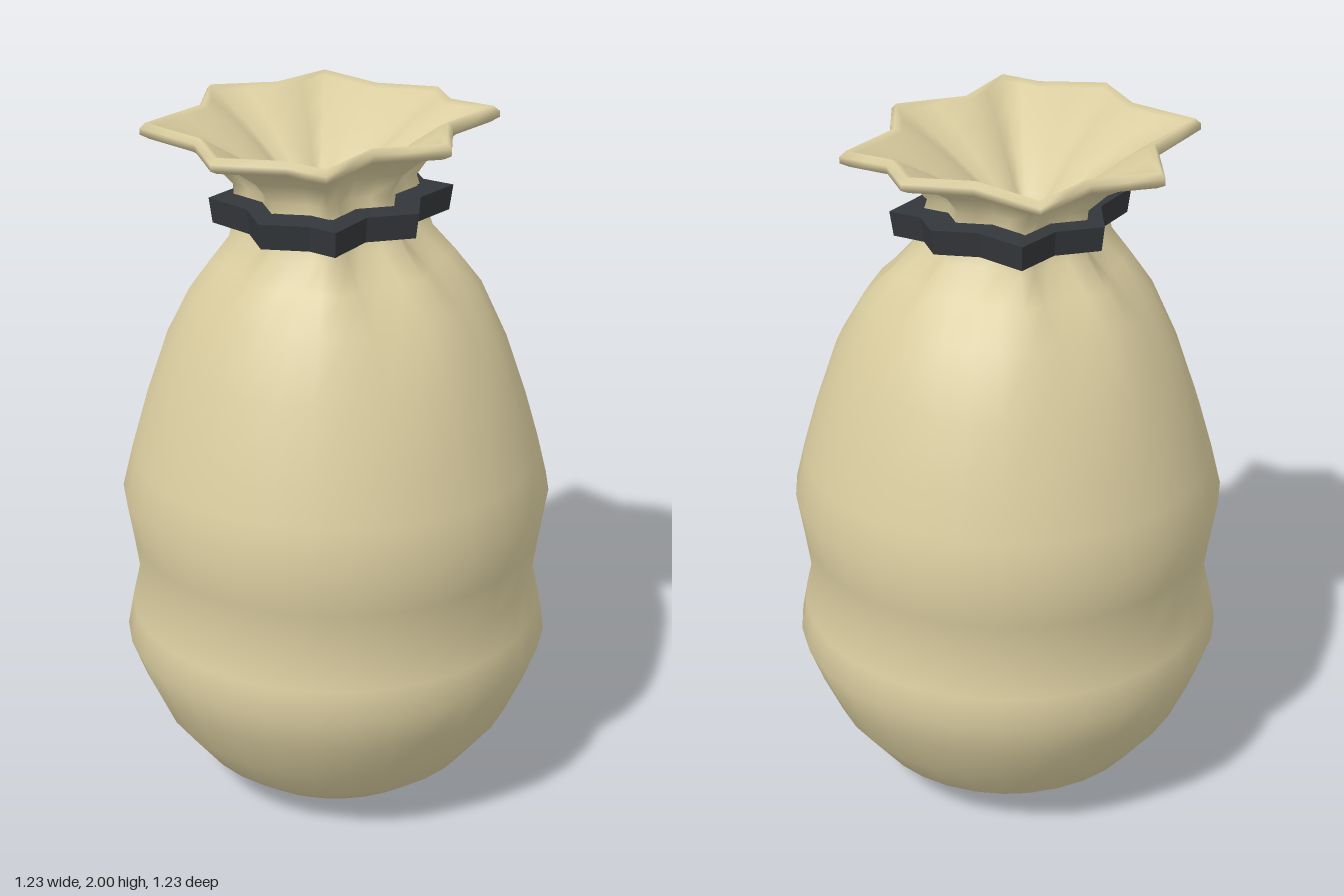
import * as THREE from 'three';
import { mergeVertices, toCreasedNormals } from 'three/addons/utils/BufferGeometryUtils.js';

// Pleated mouth outline [x, z], clockwise from the back: tip, valley, tip, ...
const STAR = [
  [0, -0.46], [0.11, -0.38], [0.25, -0.40], [0.255, -0.185],
  [0.38, -0.02], [0.26, 0.15], [0.29, 0.37], [0.165, 0.38],
  [0, 0.485], [-0.16, 0.38], [-0.375, 0.37], [-0.39, 0.13],
  [-0.52, -0.04], [-0.395, -0.19], [-0.38, -0.39], [-0.165, -0.375],
].map(([x, z]) => [x + 0.07, z - 0.01]);
const SEG = 32;

// One cross-section: a circle of radius r blended towards the pleated outline
function ring({ y, r = 0, s = 0, fold = 0, cx = 0, cz = 0 }) {
  const points = [];
  for (let j = 0; j < SEG; j++) {
    const t = (j / SEG) * Math.PI * 2;
    const a = STAR[j >> 1], b = STAR[((j >> 1) + 1) % STAR.length];
    const k = (j % 2) / 2;
    const sx = THREE.MathUtils.lerp(a[0], b[0], k) * s;
    const sz = THREE.MathUtils.lerp(a[1], b[1], k) * s;
    points.push(
      cx + THREE.MathUtils.lerp(Math.sin(t) * r, sx, fold), y,
      cz + THREE.MathUtils.lerp(-Math.cos(t) * r, sz, fold));
  }
  return points;
}

// Skin a list of cross-sections, optionally joining the last to the first
function loft(sections, closed = false) {
  const n = sections.length, index = [];
  for (let i = 0; i < (closed ? n : n - 1); i++) {
    for (let j = 0; j < SEG; j++) {
      const k = (j + 1) % SEG, up = ((i + 1) % n) * SEG;
      const a = i * SEG + j, b = i * SEG + k, c = up + j, d = up + k;
      index.push(a, c, b, b, c, d);
    }
  }
  const g = new THREE.BufferGeometry();
  g.setAttribute('position', new THREE.Float32BufferAttribute(sections.flatMap(ring), 3));
  g.setIndex(index);
  const merged = mergeVertices(g, 1e-5);
  merged.computeVertexNormals();
  return merged;
}

export function createModel() {
  const group = new THREE.Group();
  const cloth = new THREE.MeshStandardMaterial({ color: 0xd9cc9f, side: THREE.DoubleSide });
  const cord = new THREE.MeshStandardMaterial({ color: 0x33363a });

  // Round belly, from the bottom up to the shoulders
  const belly = [
    [0, 0], [0.02, 0.2], [0.06, 0.33], [0.13, 0.42], [0.26, 0.52], [0.38, 0.573],
    [0.49, 0.613], [0.58, 0.596], [0.68, 0.573], [0.81, 0.59], [0.94, 0.61],
    [1.06, 0.58], [1.19, 0.542], [1.37, 0.48],
  ].map(([y, r]) => ({ y, r }));

  // Gathered neck and flared mouth: height, outline scale, centre x, centre z
  const pleats = [
    [1.69, 0.57, -0.015, 0.02], [1.76, 0.53, -0.02, 0.02], [1.83, 0.51, -0.035, 0.02],
    [1.89, 0.62, -0.05, 0.015], [1.945, 0.8, -0.065, 0.01],
    // rolled lip
    [1.955, 0.94, -0.07, 0.01], [1.968, 0.995, -0.07, 0.01], [1.985, 0.995, -0.07, 0.01],
    [2, 0.96, -0.07, 0.01], [1.99, 0.91, -0.07, 0.01],
    // inside funnel, pinched shut
    [1.94, 0.7, -0.065, 0.01], [1.87, 0.46, -0.06, 0.01], [1.8, 0.26, -0.055, 0.015],
    [1.73, 0.1, -0.055, 0.02], [1.7, 0, -0.055, 0.02],
  ].map(([y, s, cx, cz]) => ({ y, s, cx, cz, fold: 1 }));

  const shoulders = [
    { y: 1.53, r: 0.405, s: 0.84, fold: 0.2, cx: -0.003, cz: 0.004 },
    { y: 1.62, r: 0.33, s: 0.7, fold: 0.6, cx: -0.01, cz: 0.012 },
  ];
  const sack = new THREE.Mesh(loft([...belly, ...shoulders, ...pleats]), cloth);
  sack.name = 'sack';

  // Flat cord following the folds of the neck
  const band = [[1.73, 0.66], [1.8, 0.68], [1.805, 0.5], [1.73, 0.5]]
    .map(([y, s]) => ({ y, s, fold: 1, cx: -0.015, cz: 0.022 }));
  const tie = new THREE.Mesh(toCreasedNormals(loft(band, true), 0.3), cord);
  tie.name = 'neckTie';

  group.add(sack, tie);
  return group;
}
